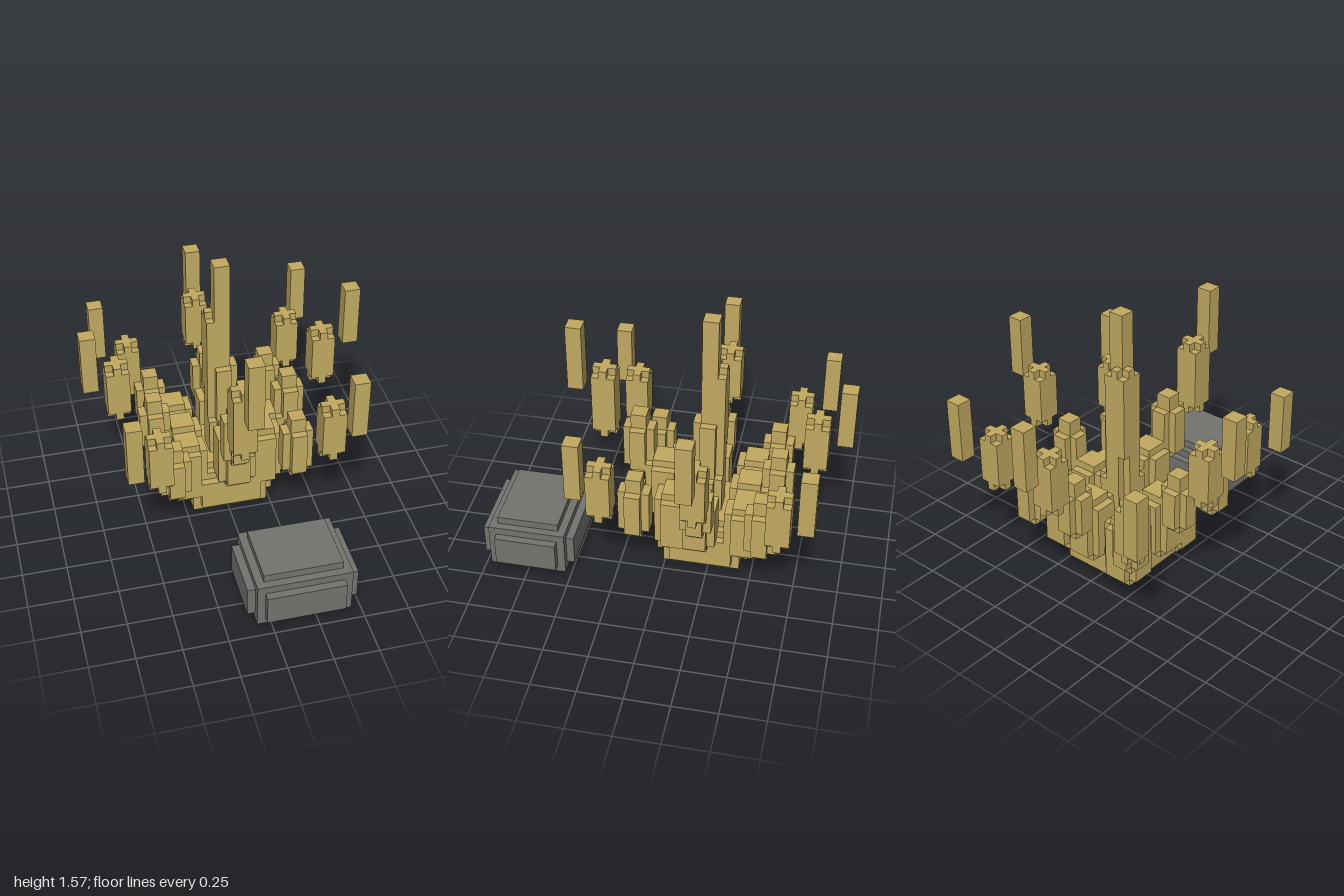
import * as THREE from 'three';

const U = 2 / 46;      // size of one block
const CZ = -5;         // plant centre along z, in blocks

export function createModel() {
  const root = new THREE.Group();
  root.name = 'branchingClusterAndRock';
  const gold = new THREE.MeshStandardMaterial({ color: 0xc2aa61 });
  gold.name = 'gold';
  const grey = new THREE.MeshStandardMaterial({ color: 0x737470 });
  grey.name = 'stoneGrey';

  const group = (name, parent = root) => {
    const g = new THREE.Group();
    g.name = name;
    parent.add(g);
    return g;
  };

  // Box between two block corners
  const box = (parent, name, mat, x0, x1, y0, y1, z0, z1) => {
    const m = new THREE.Mesh(
      new THREE.BoxGeometry((x1 - x0) * U, (y1 - y0) * U, (z1 - z0) * U), mat);
    m.position.set((x0 + x1) / 2 * U, (y0 + y1) / 2 * U, (z0 + z1) / 2 * U);
    m.name = name;
    parent.add(m);
  };

  // Upright stalk, w blocks wide, with stepped ends; x and z are its low corner
  const stalk = (parent, name, w, x, z, y0, y1, topStep = 1) => {
    const g = group(name, parent);
    z += CZ;
    if (w === 2) {
      box(g, 'stalkBlock', gold, x, x + 2, y0, y1, z, z + 2);
    } else if (w === 3) {
      box(g, 'stalkCore', gold, x, x + 3, y0 + 1, y1 - 1, z, z + 3);
      box(g, 'stalkCrossX', gold, x, x + 3, y0, y1, z + 1, z + 2);
      box(g, 'stalkCrossZ', gold, x + 1, x + 2, y0, y1, z, z + 3);
    } else {
      box(g, 'stalkCore', gold, x + 1, x + w - 1, y0, y1, z + 1, z + w - 1);
      box(g, 'stalkSideX', gold, x, x + w, y0 + 1, y1 - topStep, z + 1, z + w - 1);
      box(g, 'stalkSideZ', gold, x + 1, x + w - 1, y0 + 1, y1 - topStep, z, z + w);
    }
  };

  // Stepped base of the plant
  const base = group('plantBase');
  box(base, 'baseFoot', gold, -4, 4, 0, 8, CZ - 4, CZ + 4);
  box(base, 'baseMiddle', gold, -5, 5, 1, 7, CZ - 5, CZ + 5);
  box(base, 'baseWideX', gold, -6, 6, 2, 6, CZ - 4, CZ + 4);
  box(base, 'baseWideZ', gold, -4, 4, 2, 6, CZ - 6, CZ + 6);

  // Central spire
  const spire = group('centralSpire');
  stalk(spire, 'spireRoot', 5, -2, -2, 5, 14);
  stalk(spire, 'spireLower', 4, -2, -2, 9, 22);
  stalk(spire, 'spireMiddle', 3, -2, -2, 16, 29);
  stalk(spire, 'spireTip', 2, -1, -1, 24, 36);

  // Low corner of a stalk along one axis, by direction (-1, 0, 1)
  const rings = [
    { w: 5, straight: { '-1': -8, 0: -2, 1: 3 }, diagonal: { '-1': -8, 1: 2 } },
    { w: 4, straight: { '-1': -11, 0: -2, 1: 7 }, diagonal: { '-1': -10, 1: 6 } },
    { w: 3, straight: { '-1': -15, 0: -2, 1: 12 }, diagonal: { '-1': -12, 1: 10 } },
    { w: 2, straight: { '-1': -18, 0: -1, 1: 16 }, diagonal: { '-1': -15, 1: 13 } },
  ];

  // Arms: direction x, z, then bottom and top of each stalk from inner to tip
  const arms = [
    ['armLeft', 1, 0, [[5, 13], [10, 18], [16, 24], [22, 30]]],
    ['armRight', -1, 0, [[4, 13], [9, 17], [15, 23], [20, 28]]],
    ['armFront', 0, 1, [[6, 15], [12, 21], [17, 27], [24, 33]]],
    ['armBack', 0, -1, [[4, 13], [9, 17], [15, 23], [20, 28]]],
    ['armFrontLeft', 1, 1, [[4, 13], [8, 17], [13, 21], [18, 26]]],
    ['armFrontRight', -1, 1, [[3, 12], [7, 15], [12, 20], [16, 24]]],
    ['armBackLeft', 1, -1, [[4, 12], [7, 16], [12, 20], [17, 25]]],
    ['armBackRight', -1, -1, [[3, 12], [7, 15], [11, 19], [15, 23]]],
  ];
  for (const [name, dx, dz, spans] of arms) {
    const arm = group(name);
    rings.forEach((r, i) => {
      const low = dx && dz ? r.diagonal : r.straight;
      const z = low[dz] - (i === 0 && dx && dz === 1 ? 1 : 0);
      stalk(arm, i === 3 ? 'armTip' : 'armStalk', r.w, low[dx], z,
        spans[i][0], spans[i][1], r.w === 4 ? 2 : 1);
    });
  }

  // Rock with stepped edges
  const rock = group('rock');
  box(rock, 'rockCore', grey, -2, 10, 1, 7, 12, 22);
  box(rock, 'rockSides', grey, -3, 11, 2, 6, 13, 21);
  box(rock, 'rockTopAndBottom', grey, -1, 9, 0, 8, 13, 21);
  box(rock, 'rockFrontAndBack', grey, -1, 9, 2, 6, 11, 23);

  return root;
}
